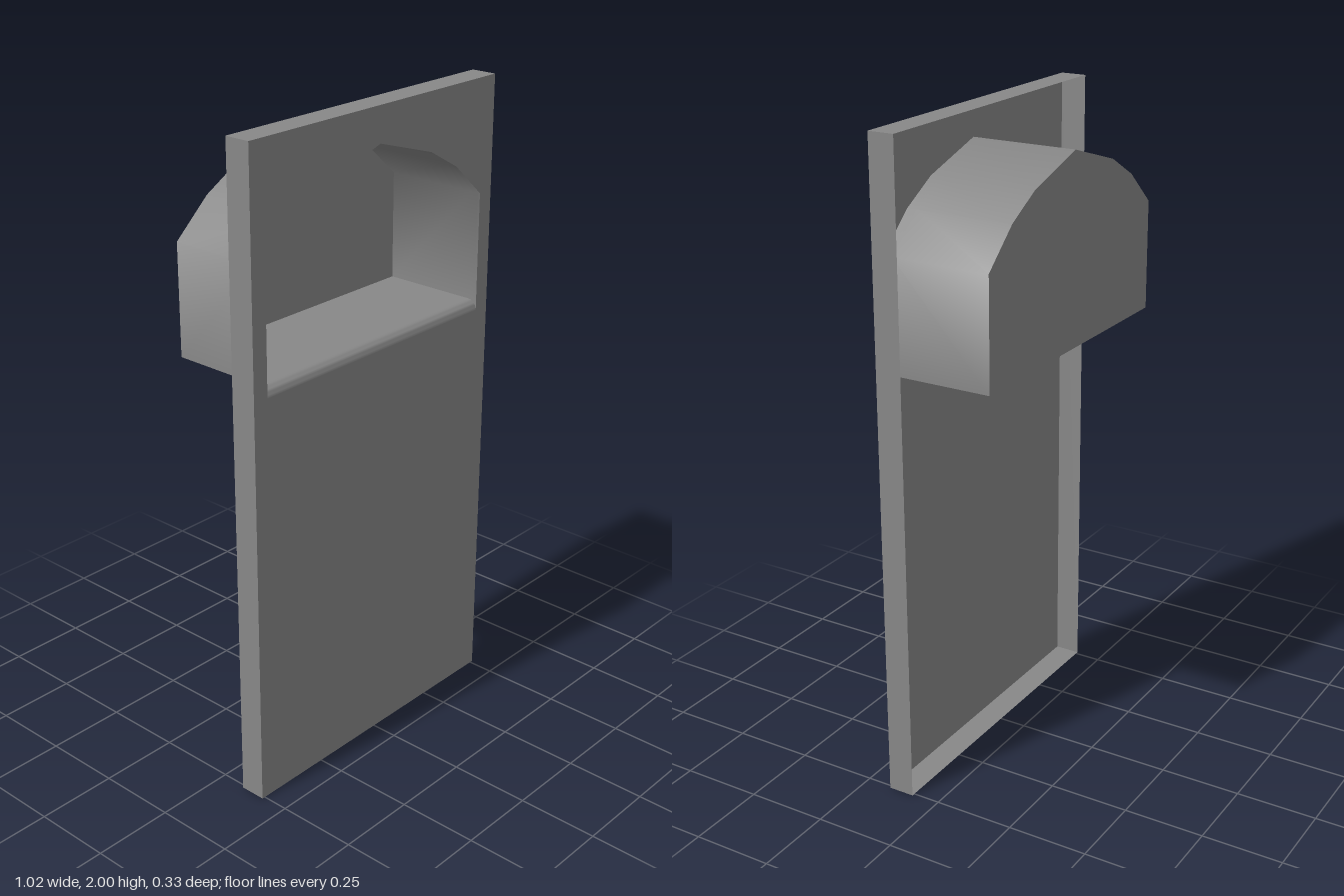
import * as THREE from 'three';
import { toCreasedNormals } from 'three/addons/utils/BufferGeometryUtils.js';

const FRONT = 0.167, BACK = -0.167, RIM_BACK = 0.086;
const HALF_W = 0.51, HEIGHT = 2;
const SILL = 1.314, SILL_RADIUS = 0.03;

const material = new THREE.MeshStandardMaterial({ color: 0x888888, side: THREE.DoubleSide });

function part(name, geometry, z = 0) {
  const mesh = new THREE.Mesh(geometry, material);
  mesh.name = name;
  mesh.position.z = z;
  return mesh;
}

// Closed outlines, counter-clockwise from the front
function rectOutline() {
  return [[-HALF_W, 0], [HALF_W, 0], [HALF_W, HEIGHT], [-HALF_W, HEIGHT]];
}

function nicheOutline(floor) {
  const right = [[0.458, floor], [0.458, 1.652], [0.34, 1.758], [0.222, 1.825]];
  const left = right.map(([x, y]) => [-x, y]).reverse();
  return [...right, [0, 1.893], ...left];
}

const toPoints = (outline) => outline.map(([x, y]) => new THREE.Vector2(x, y));

// Skin joining outlines from back to front, open at both ends
function loft(sections) {
  const n = sections[0].outline.length;
  const positions = [], index = [];
  sections.forEach(({ outline, z }, s) => {
    outline.forEach(([x, y], i) => {
      positions.push(x, y, z);
      if (s === 0) return;
      const j = (i + 1) % n, a = (s - 1) * n, b = s * n;
      // Mirrored diagonals keep the smooth shading symmetric
      if (i < (n - 1) / 2) index.push(a + i, a + j, b + j, a + i, b + j, b + i);
      else index.push(a + i, a + j, b + i, a + j, b + j, b + i);
    });
  });
  const geometry = new THREE.BufferGeometry();
  geometry.setAttribute('position', new THREE.Float32BufferAttribute(positions, 3));
  geometry.setIndex(index);
  return toCreasedNormals(geometry, 1.0);
}

export function createModel() {
  const group = new THREE.Group();
  group.name = 'nichePanel';

  // Front sheet with the arched opening
  const sheet = new THREE.Shape(toPoints(rectOutline()));
  sheet.holes.push(new THREE.Path(toPoints(nicheOutline(SILL - SILL_RADIUS)).reverse()));
  group.add(part('frontSheet', new THREE.ShapeGeometry(sheet), FRONT));

  // Thin rim folded back around the sheet
  group.add(part('rim', loft([
    { outline: rectOutline(), z: RIM_BACK },
    { outline: rectOutline(), z: FRONT },
  ])));

  // Niche walls, with the sill rounding down into the front sheet
  const sections = [{ outline: nicheOutline(SILL), z: BACK }];
  const steps = 6;
  for (let i = 0; i <= steps; i++) {
    const a = (i / steps) * Math.PI / 2;
    sections.push({
      outline: nicheOutline(SILL - SILL_RADIUS * (1 - Math.cos(a))),
      z: FRONT - SILL_RADIUS * (1 - Math.sin(a)),
    });
  }
  group.add(part('nicheWalls', loft(sections)));

  // Flat back of the niche
  const back = new THREE.Shape(toPoints(nicheOutline(SILL)));
  group.add(part('nicheBack', new THREE.ShapeGeometry(back), BACK));

  return group;
}
